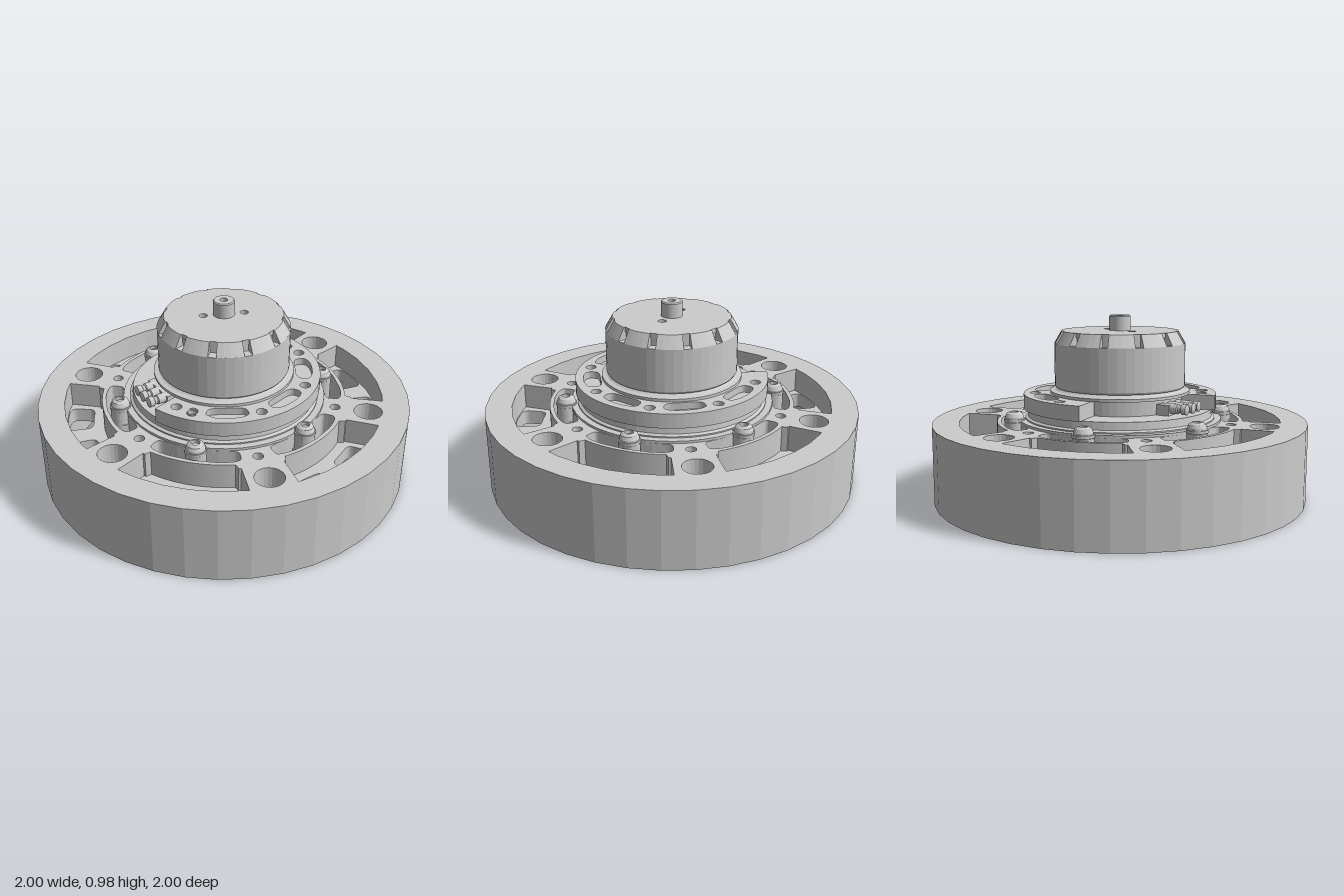
import * as THREE from 'three';

const D = Math.PI / 180;
const mat = new THREE.MeshStandardMaterial({ color: 0xcccccc, flatShading: true, side: THREE.DoubleSide });

// Plan point: angle in degrees from +x towards +z
const P = (r, a) => new THREE.Vector2(r * Math.cos(a * D), -r * Math.sin(a * D));
const circle = (r, n = 48, cr = 0, ca = 0) =>
  Array.from({ length: n }, (_, i) => P(r, i * 360 / n).add(P(cr, ca)));

// Rounded slot bent around the axis
function slot(r0, r1, a, half, power = 5) {
  const bulge = v => Math.sign(v) * Math.abs(v) ** (2 / power);
  return Array.from({ length: 36 }, (_, i) => {
    const t = i * Math.PI / 18;
    return P((r0 + r1) / 2 + bulge(Math.sin(t)) * (r1 - r0) / 2, a + half * bulge(Math.cos(t)));
  });
}

function sector(r0, r1, a0, a1, n = 36) {
  const arc = r => Array.from({ length: n + 1 }, (_, i) => P(r, a0 + (a1 - a0) * i / n));
  return [...arc(r1), ...arc(r0).reverse()];
}

function mesh(parent, name, geo) {
  const m = new THREE.Mesh(geo, mat);
  m.name = name;
  parent.add(m);
  return m;
}

// Plate cut from a plan outline, between heights y0 and y1
function plate(parent, name, outline, holes, y0, y1) {
  const s = new THREE.Shape(outline);
  s.holes = holes.map(h => new THREE.Path(h));
  const g = new THREE.ExtrudeGeometry(s, { depth: y1 - y0, bevelEnabled: false });
  g.rotateX(-Math.PI / 2).translate(0, y0, 0);
  return mesh(parent, name, g);
}

const lathe = (parent, name, pts, n = 56) =>
  mesh(parent, name, new THREE.LatheGeometry(pts.map(p => new THREE.Vector2(...p)), n));

function group(parent, name) {
  const g = new THREE.Group();
  g.name = name;
  parent.add(g);
  return g;
}

const six = f => Array.from({ length: 6 }, (_, k) => f(k * 60)).flat();

function addWheel(root) {
  const wheel = group(root, 'wheel');
  plate(wheel, 'rim', circle(1, 40), [circle(0.86, 40)], 0, 0.417);

  // Round holes in the spokes and curved windows around the hub
  const shared = [
    circle(0.53),
    ...six(a => [circle(0.075, 24, 0.785, a + 45.5), circle(0.027, 16, 0.61, a + 45.5),
      slot(0.545, 0.64, a + 15.5, 22)]),
  ];
  const pockets = six(a => [slot(0.715, 0.855, a + 4, 7.3), slot(0.715, 0.855, a + 27, 7.3)]);
  plate(wheel, 'webFloor', circle(0.865, 60), [...shared, ...pockets], 0.2, 0.28);

  // Full-height hub ring with six spokes
  const outline = six(a => {
    const pts = [];
    for (let d = 15.5; d <= 75.5; d += 1) {
      const off = Math.abs(d - 45.5);
      const r = off <= 8 ? 0.862 : off < 9 ? 0.75 : off < 11 ? 0.69 : 0.66;
      if (d < 75.5) pts.push(P(r, a + d));
    }
    return pts;
  });
  plate(wheel, 'spokes', outline, shared, 0.28, 0.417);
  plate(wheel, 'hubLip', circle(0.545), [circle(0.49)], 0.40, 0.43);
}

function addScrews(root) {
  const screws = group(root, 'mountingScrews');
  six(a => {
    const p = P(0.57, a + 15.5);
    const s = group(screws, 'mountingScrew');
    s.position.set(p.x, 0, -p.y);
    s.rotation.y = -(a + 15.5) * D;
    // Ear joining the hub, washer, button head with socket
    mesh(s, 'ear', new THREE.BoxGeometry(0.1, 0.19, 0.11)).position.set(-0.045, 0.245, 0);
    mesh(s, 'post', new THREE.CylinderGeometry(0.053, 0.053, 0.27, 24)).position.y = 0.285;
    mesh(s, 'washer', new THREE.CylinderGeometry(0.056, 0.056, 0.015, 24)).position.y = 0.43;
    lathe(s, 'head', [[0.05, 0.437], [0.05, 0.447], [0.042, 0.465], [0.028, 0.474], [0.022, 0.474],
      [0.022, 0.455], [0, 0.455]], 24);
    lathe(s, 'lowerBolt', [[0, 0.14], [0.014, 0.14], [0.014, 0.12], [0.026, 0.12], [0.026, 0.16]], 16);
    return [];
  });
}

function addGearbox(root) {
  const box = group(root, 'gearbox');
  lathe(box, 'housing', [[0, 0.05], [0.26, 0.05], [0.26, 0.035], [0.29, 0.035], [0.29, 0.055],
    [0.39, 0.055], [0.4, 0.035], [0.45, 0.035], [0.46, 0.06], [0.47, 0.13], [0.5, 0.15], [0.5, 0.2],
    [0.53, 0.2], [0.53, 0.25], [0.51, 0.26], [0.51, 0.437], [0.495, 0.445], [0.49, 0.485], [0, 0.485]]);

  // Ribbed underside
  lathe(box, 'bottomBoss', [[0, 0.035], [0.085, 0.035], [0.085, 0.028], [0.105, 0.028], [0.105, 0.055]], 32);
  for (let k = 0; k < 8; k++) {
    const rib = mesh(box, 'bottomRib', new THREE.BoxGeometry(0.34, 0.03, 0.018).translate(0.27, 0.045, 0));
    rib.rotation.y = (k * 45 + 20) * D;
  }
  six(a => {
    const lug = mesh(box, 'sideLug', new THREE.BoxGeometry(0.1, 0.1, 0.12).translate(0.45, 0.09, 0));
    lug.rotation.y = -(a + 45.5) * D;
    return [];
  });

  // Raised collar, open where the cables come out
  const recesses = [];
  for (let k = 0; k < 5; k++) recesses.push(slot(0.385, 0.475, 241 + k * 44.5, 14, 3));
  for (let k = 0; k < 6; k++) recesses.push(circle(0.028, 18, 0.455, 219 + k * 44.5));
  recesses.push(circle(0.028, 18, 0.44, 82), circle(0.028, 18, 0.44, 94));
  plate(box, 'collarBase', sector(0.3, 0.517, -160, 103, 60), [], 0.485, 0.525);
  plate(box, 'collarTop', sector(0.3, 0.517, -160, 103, 60), recesses, 0.525, 0.563);
  lathe(box, 'motorSeat', [[0.34, 0.485], [0.34, 0.563], [0.375, 0.563], [0.375, 0.578], [0.35, 0.582],
    [0.33, 0.595]]);
}

function addCables(root) {
  const plugs = group(root, 'cablePlugs');
  for (const [x, z] of [[-0.295, 0.29], [-0.24, 0.325], [-0.18, 0.355]]) {
    const plug = group(plugs, 'cablePlug');
    plug.position.set(x, 0.52, z);
    plug.rotation.y = -28 * D;
    const g = new THREE.LatheGeometry([[0, -0.07], [0.026, -0.07], [0.026, 0.02], [0.019, 0.025],
      [0.019, 0.04], [0.027, 0.045], [0.027, 0.07], [0.015, 0.075], [0, 0.075]]
      .map(p => new THREE.Vector2(...p)), 16);
    mesh(plug, 'plugBarrel', g.rotateX(Math.PI / 2));
  }
  const block = mesh(plugs, 'plugBlock', new THREE.BoxGeometry(0.2, 0.055, 0.07));
  block.position.set(-0.21, 0.513, 0.275);
  block.rotation.y = -28 * D;
}

function addMotor(root) {
  const motor = group(root, 'motor');
  lathe(motor, 'bell', [[0.29, 0.595], [0.345, 0.595], [0.35, 0.605], [0.35, 0.83], [0.29, 0.83]], 48);
  lathe(motor, 'innerCore', [[0.3, 0.82], [0.3, 0.885]], 48);

  // Sloped shoulder split by twelve vents
  const profile = [[0.295, 0.83], [0.35, 0.83], [0.312, 0.895], [0.295, 0.895], [0.295, 0.83]]
    .map(p => new THREE.Vector2(...p));
  const gap = 7 * D, step = 30 * D;
  for (let k = 0; k < 12; k++) {
    const start = 79 * D + k * step + gap / 2;
    const piece = group(motor, 'shoulderSegment');
    mesh(piece, 'shoulder', new THREE.LatheGeometry(profile, 4, start, step - gap));
    for (const a of [start, start + step - gap])
      mesh(piece, 'ventWall', new THREE.ShapeGeometry(new THREE.Shape(profile)).rotateY(a - Math.PI / 2));
  }

  plate(motor, 'topCap', circle(0.305, 48), [circle(0.022, 16, 0.108, -39), circle(0.022, 16, 0.108, 141)],
    0.87, 0.895);
  mesh(motor, 'capFloor', new THREE.CylinderGeometry(0.29, 0.29, 0.01, 48)).position.y = 0.865;
  lathe(motor, 'shaft', [[0.057, 0.88], [0.057, 0.97], [0.052, 0.976], [0.02, 0.976], [0.02, 0.95], [0, 0.95]], 28);
}

export function createModel() {
  const root = new THREE.Group();
  root.name = 'driveWheel';
  addWheel(root);
  addScrews(root);
  addGearbox(root);
  addCables(root);
  addMotor(root);
  return root;
}
